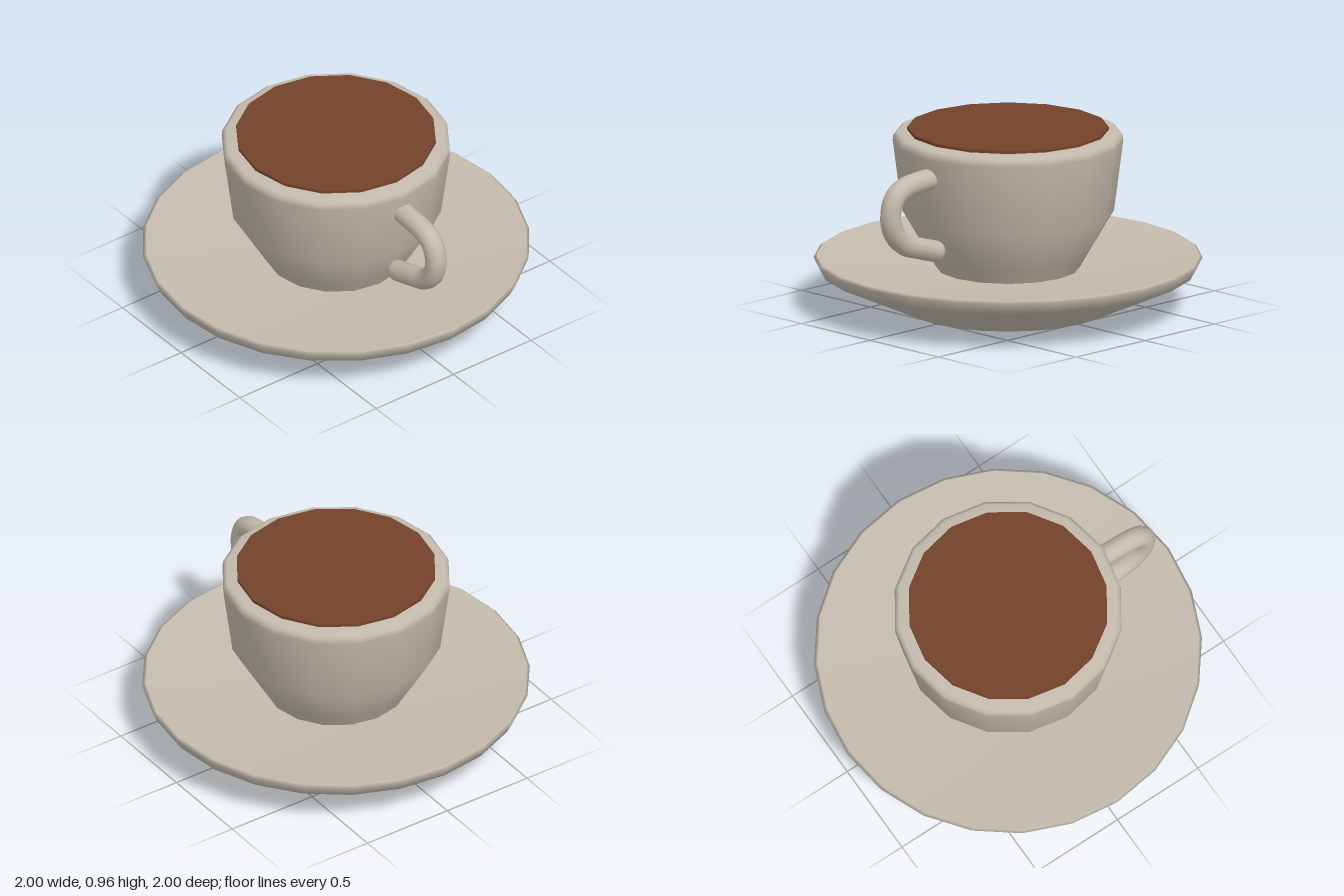
import * as THREE from 'three';

const cream = new THREE.MeshStandardMaterial({ color: 0xc4bbad });
cream.name = 'cream ceramic';
const brown = new THREE.MeshStandardMaterial({ color: 0x74432a });
brown.name = 'coffee brown';

export function createModel() {
  const model = new THREE.Group();
  model.name = 'cupAndSaucer';

  function add(parent, name, geometry, material) {
    const mesh = new THREE.Mesh(geometry, material);
    mesh.name = name;
    parent.add(mesh);
    return mesh;
  }
  // Profiles run from the bottom centre outward, up and back in
  function lathe(profile, sides) {
    return new THREE.LatheGeometry(profile.map(([r, y]) => new THREE.Vector2(r, y)), sides);
  }

  // Saucer: rounded underside and a shallow dished top
  const saucer = new THREE.Group();
  saucer.name = 'saucer';
  model.add(saucer);
  add(saucer, 'saucerUnderside',
    lathe([[0, 0.005], [0.52, 0.005], [0.97, 0.21], [1, 0.27], [0.985, 0.283]], 24), cream);
  add(saucer, 'saucerTop', lathe([[0.985, 0.283], [0.38, 0.22], [0, 0.22]], 24), cream);

  // Cup: outer wall, soft rim and hollow inside
  const cup = new THREE.Group();
  cup.name = 'cup';
  model.add(cup);
  add(cup, 'cupWall',
    lathe([[0.37, 0.22], [0.41, 0.29], [0.545, 0.52], [0.593, 0.89], [0.59, 0.92], [0.57, 0.935], [0.5, 0.938]], 16), cream);
  add(cup, 'cupInside', lathe([[0.5, 0.938], [0.46, 0.54], [0.33, 0.29], [0, 0.28]], 16), cream);

  // Coffee: thin disc at the rim
  const coffee = add(model, 'coffee', new THREE.CylinderGeometry(0.518, 0.518, 0.016, 16), brown);
  coffee.position.y = 0.953;

  // Handle: bent tube with round ends
  const handle = new THREE.Group();
  handle.name = 'handle';
  model.add(handle);
  const points = [[0.53, 0.785], [0.64, 0.78], [0.75, 0.766], [0.82, 0.725], [0.85, 0.635],
    [0.825, 0.54], [0.755, 0.47], [0.65, 0.432], [0.53, 0.395]]
    .map(([x, y]) => new THREE.Vector3(x, y, 0));
  add(handle, 'handleTube',
    new THREE.TubeGeometry(new THREE.CatmullRomCurve3(points), 28, 0.056, 12), cream);
  for (const end of [points[0], points[points.length - 1]]) {
    add(handle, 'handleEnd', new THREE.SphereGeometry(0.056, 12, 8), cream).position.copy(end);
  }

  return model;
}
